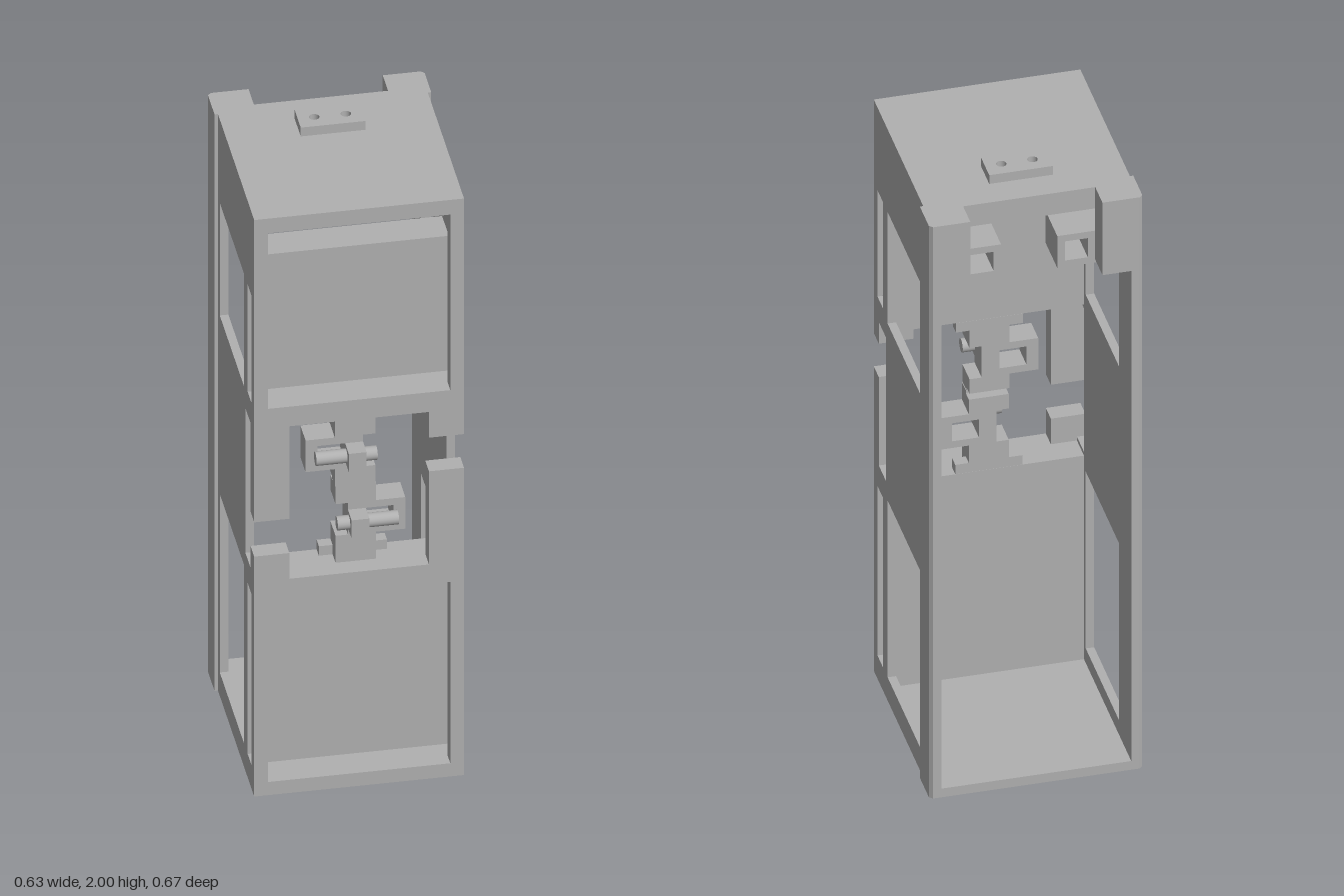
import * as THREE from 'three';

const grey = new THREE.MeshStandardMaterial({ color: 0xb0b0b0 });
grey.name = 'plain grey';

function add(parent, name, geometry) {
  const mesh = new THREE.Mesh(geometry, grey);
  mesh.name = name;
  parent.add(mesh);
  return mesh;
}

// Box given by its limits on each axis
function box(parent, name, x0, x1, y0, y1, z0, z1) {
  const mesh = add(parent, name, new THREE.BoxGeometry(x1 - x0, y1 - y0, z1 - z0));
  mesh.position.set((x0 + x1) / 2, (y0 + y1) / 2, (z0 + z1) / 2);
  return mesh;
}

const poly = (pts) => new THREE.Shape(pts.map(([a, b]) => new THREE.Vector2(a, b)));
const rect = (a0, a1, b0, b1) => poly([[a0, b0], [a1, b0], [a1, b1], [a0, b1]]);

function plate(shape, depth, holes = []) {
  shape.holes.push(...holes);
  return new THREE.ExtrudeGeometry(shape, { depth, bevelEnabled: false, curveSegments: 16 });
}

// Side wall drawn in (z, y), with windows, slits and a notch in the front edge
function sideWall(parent, name, x0, x1, notch0, notch1) {
  const outline = poly([
    [-0.337, 0], [0.337, 0], [0.337, notch0], [0.28, notch0], [0.28, 0.745], [0.2, 0.745],
    [0.2, 1.24], [0.28, 1.24], [0.28, notch1], [0.337, notch1], [0.337, 1.97], [-0.337, 1.97],
  ]);
  const geometry = plate(outline, x1 - x0, [
    rect(-0.197, 0.18, 0.08, 0.69), rect(-0.197, 0.18, 1.3, 1.685),
    rect(0.235, 0.295, 0.08, 0.665), rect(0.235, 0.295, 1.318, 1.685),
  ]);
  geometry.rotateY(-Math.PI / 2); // (z, y, depth) -> x runs from 0 to -depth
  add(parent, name, geometry).position.x = x1;
}

// One half of the centre latch, measured from the middle of the opening
function latchHalf() {
  const g = new THREE.Group();
  g.name = 'latch';
  box(g, 'latchStem', -0.06, 0.058, 0.168, 0.26, 0.2, 0.28);
  box(g, 'latchNeck', -0.03, 0.022, 0.06, 0.168, 0.2, 0.28);
  box(g, 'latchCore', -0.06, 0.058, 0.01, 0.06, 0.2, 0.28);
  box(g, 'latchBridge', -0.06, 0.058, 0, 0.01, 0.233, 0.28);
  box(g, 'bracketEnd', -0.145, -0.11, 0.06, 0.168, 0.2, 0.28);
  box(g, 'bracketArm', -0.11, -0.03, 0.145, 0.168, 0.2, 0.28);
  box(g, 'bracketArm', -0.11, -0.03, 0.06, 0.083, 0.2, 0.28);
  box(g, 'pinLug', -0.03, 0.022, 0.083, 0.145, 0.266, 0.337);
  for (const x of [-0.1, 0.058]) box(g, 'cornerTab', x, x + 0.04, 0.228, 0.26, 0.2, 0.235);
  const pin = add(g, 'pin', new THREE.CylinderGeometry(0.021, 0.021, 0.178, 20));
  pin.rotation.z = Math.PI / 2;
  pin.position.set(-0.031, 0.114, 0.297);
  return g;
}

export function createModel() {
  const model = new THREE.Group();
  model.name = 'tower frame';

  // Walls and floor
  sideWall(model, 'leftWall', 0.28, 0.305, 1.05, 1.165);
  sideWall(model, 'rightWall', -0.305, -0.28, 0.82, 0.937);
  box(model, 'floor', -0.305, 0.305, 0, 0.03, -0.337, 0.337);

  // Top plate with a notch at the back, drawn in (x, -z)
  const top = plate(poly([
    [-0.305, -0.337], [0.305, -0.337], [0.305, 0.337], [0.195, 0.337],
    [0.195, 0.255], [-0.195, 0.255], [-0.195, 0.337], [-0.305, 0.337],
  ]), 0.05);
  top.rotateX(-Math.PI / 2);
  add(model, 'topPlate', top).position.y = 1.92;

  // Connector on the top, with two blind round holes
  const holes = [-0.046, 0.046].map((x) => new THREE.Path().absarc(x, 0.115, 0.015, 0, Math.PI * 2, true));
  const connector = plate(rect(-0.094, 0.094, 0.067, 0.163), 0.03, holes);
  connector.rotateX(-Math.PI / 2);
  add(model, 'topConnector', connector).position.y = 1.97;

  // Front frames around the two recesses
  const lower = plate(rect(-0.305, 0.305, 0, 0.732), 0.042, [rect(-0.265, 0.265, 0.045, 0.665)]);
  add(model, 'lowerFrontFrame', lower).position.z = 0.295;
  const upper = plate(rect(-0.305, 0.305, 1.253, 1.97), 0.042, [rect(-0.265, 0.265, 1.32, 1.92)]);
  add(model, 'upperFrontFrame', upper).position.z = 0.295;

  // Cross bars behind the frames and recessed panels
  box(model, 'bottomBar', -0.29, 0.29, 0, 0.045, 0.2, 0.3);
  box(model, 'lowerBar', -0.29, 0.29, 0.665, 0.732, 0.2, 0.3);
  box(model, 'upperBar', -0.29, 0.29, 1.253, 1.32, 0.2, 0.3);
  box(model, 'lowerPanel', -0.285, 0.285, 0.03, 0.68, 0.2, 0.235);
  box(model, 'upperPanel', -0.285, 0.285, 1.3, 1.78, 0.2, 0.235);
  box(model, 'upperPanelLip', -0.285, 0.285, 1.72, 1.78, 0.13, 0.2);

  // Columns beside the middle opening, broken by the notches
  for (const [side, y0, y1] of [[1, 0.732, 1.05], [1, 1.165, 1.253], [-1, 0.732, 0.82], [-1, 0.937, 1.253]]) {
    const [a, b] = side > 0 ? [0.203, 0.305] : [-0.305, -0.203];
    box(model, 'frontColumn', a, b, y0, y1, 0.28, 0.337);
  }

  // Two latches, the second turned half round
  for (const turn of [0, Math.PI]) {
    const latch = latchHalf();
    latch.position.y = 0.9925;
    latch.rotation.z = turn;
    model.add(latch);
  }

  for (const s of [1, -1]) {
    const span = (a, b) => (s > 0 ? [a, b] : [-b, -a]);

    // Back rail with a chamfered outer corner, drawn in (x, -z)
    const pts = [[0.28, 0.225], [0.315, 0.225], [0.315, 0.327], [0.305, 0.337], [0.28, 0.337]];
    const rail = plate(poly(pts.map(([x, z]) => [s * x, z])), 1.97);
    rail.rotateX(-Math.PI / 2);
    add(model, 'backRail', rail);

    // Corner block at the top of the rail
    box(model, 'cornerBlock', ...span(0.195, 0.29), 1.72, 1.97, -0.337, -0.255);

    // Square socket open to the back, on a shelf from the wall
    const [x0, x1] = span(0.083, 0.195);
    const socket = plate(rect(x0, x1, 1.71, 1.82), 0.12, [rect(x0 + 0.022, x1 - 0.022, 1.732, 1.798)]);
    add(model, 'socket', socket).position.z = -0.255;
    box(model, 'socketBack', x0, x1, 1.71, 1.82, -0.14, -0.12);
    box(model, 'socketShelf', ...span(0.19, 0.285), 1.71, 1.82, -0.255, -0.12);
  }

  // Cross plate under the top, with a central window
  const cross = plate(rect(-0.285, 0.285, 1.82, 1.925), 0.025, [rect(-0.072, 0.068, 1.857, 1.92)]);
  add(model, 'crossPlate', cross).position.z = -0.145;

  return model;
}
